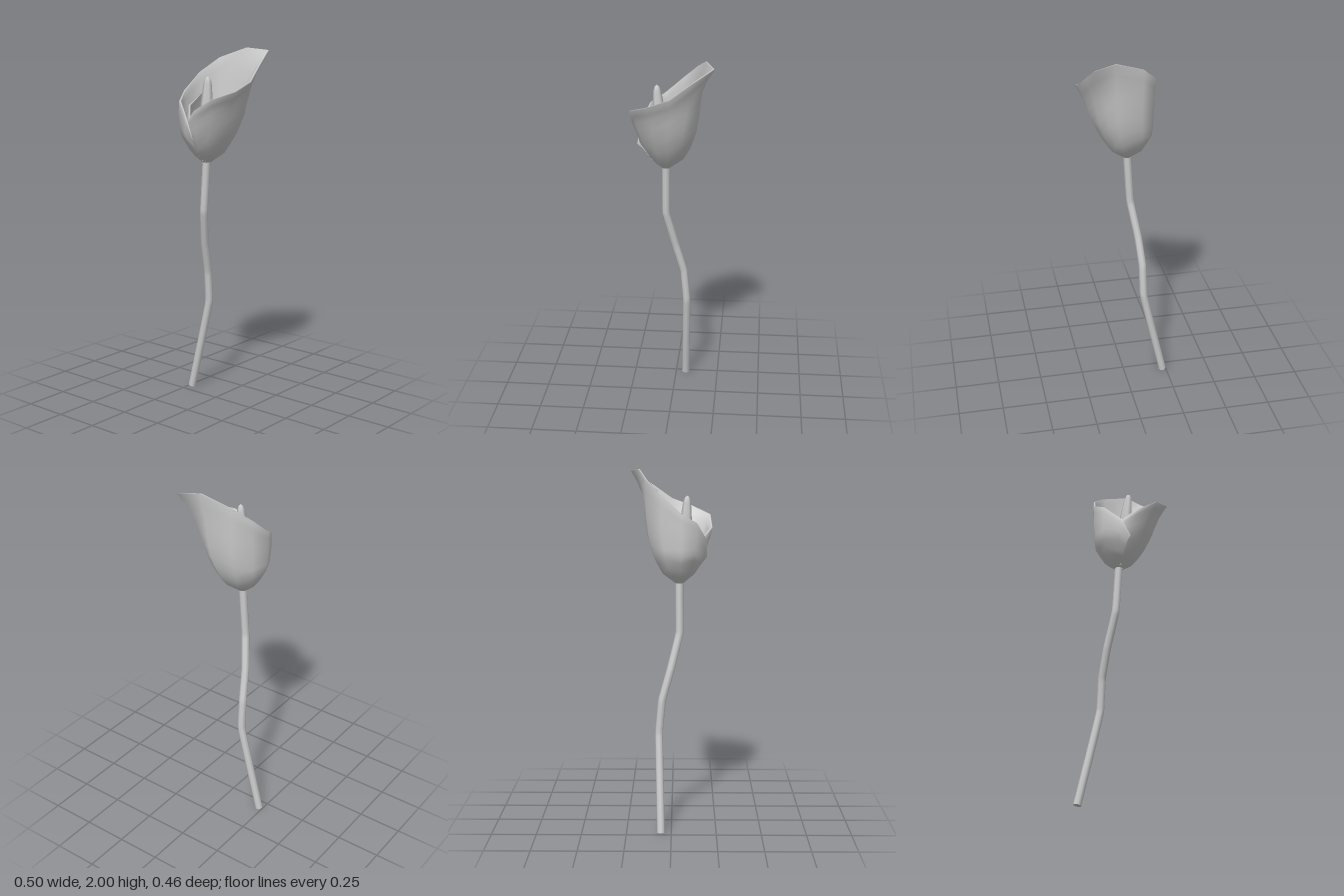
import * as THREE from 'three';

const grey = new THREE.MeshStandardMaterial({ color: 0xcccccc, side: THREE.DoubleSide });
grey.name = 'pale grey';

function part(name, geometry) {
  const mesh = new THREE.Mesh(geometry, grey);
  mesh.name = name;
  return mesh;
}

// Bent stalk, nearly straight between its joints
function makeStem() {
  const path = new THREE.CatmullRomCurve3([
    [-0.229, 0.006, -0.058], [-0.168, 0.27, -0.064], [-0.108, 0.54, -0.07], [-0.103, 0.73, -0.053],
    [-0.085, 0.9, -0.006], [-0.05, 1.1, 0.043], [-0.04, 1.25, 0.043], [-0.03, 1.41, 0.042],
  ].map(p => new THREE.Vector3(...p)), false, 'catmullrom', 0.12);
  const stem = new THREE.Group();
  stem.name = 'stem';
  stem.add(part('stalk', new THREE.TubeGeometry(path, 48, 0.022, 8)));
  const cap = part('stalkEnd', new THREE.CircleGeometry(0.022, 8));
  cap.position.copy(path.getPoint(0));
  cap.lookAt(path.getPoint(0).sub(path.getTangent(0)));
  stem.add(cap);
  return stem;
}

// Body of the cup: height, radius, centre x, centre z
const BODY = [
  [1.38, 0.022, -0.03, 0.042], [1.395, 0.04, -0.03, 0.04], [1.43, 0.088, -0.026, 0.034],
  [1.53, 0.148, -0.022, 0.033], [1.64, 0.174, -0.003, 0.03], [1.75, 0.178, 0.002, 0.022],
  [2.1, 0.185, 0.005, 0.01],
];
function bodyAt(y) {
  let i = 0;
  while (i < BODY.length - 2 && y > BODY[i + 1][0]) i++;
  const t = (y - BODY[i][0]) / (BODY[i + 1][0] - BODY[i][0]);
  return BODY[i].map((a, k) => THREE.MathUtils.lerp(a, BODY[i + 1][k], t));
}

// Rim of the wrapped petal, from the outer flap round to the hidden inner flap: x, y, z, body scale
const RIM = [
  [0.0, 1.52, 0.195, 1.05], [-0.05, 1.62, 0.192, 1.05], [-0.145, 1.715, 0.14, 1.04],
  [-0.185, 1.765, 0.055, 1.03], [-0.165, 1.86, -0.055, 1], [-0.085, 1.94, -0.14, 1],
  [0.075, 1.997, -0.187, 1], [0.19, 1.985, -0.23, 1], [0.217, 1.91, -0.115, 1],
  [0.245, 1.83, 0, 1], [0.238, 1.785, 0.125, 1], [0.15, 1.745, 0.22, 1],
  [0.035, 1.68, 0.228, 1], [-0.05, 1.625, 0.172, 0.94], [-0.125, 1.69, 0.085, 0.9],
  [-0.11, 1.765, -0.035, 0.86],
];

// Point on a petal column at v (0 base, 1 rim), pulled towards the axis by inset
function petalPoint([rx, ry, rz, s], v, inset) {
  const y = THREE.MathUtils.lerp(1.38, ry, v);
  const angle = Math.atan2(rz - 0.03, rx);
  const [, r, cx, cz] = bodyAt(y);
  const [, r1, cx1, cz1] = bodyAt(ry);
  const c = Math.cos(angle), n = Math.sin(angle);
  const flare = Math.pow(v, 4);
  return [
    cx + c * (r * s - inset) + (rx - cx1 - c * r1 * s) * flare,
    y,
    cz + n * (r * s - inset) + (rz - cz1 - n * r1 * s) * flare,
  ];
}

// Wrapped petal: each column runs up the outside, over the lip and down the inside
function makePetal() {
  const V = 10, pos = [], index = [];
  const rows = 2 * (V + 1) + 1;
  RIM.forEach((rim, i) => {
    const thick = i === 0 || i === RIM.length - 1 ? 0.002 : 0.015;
    for (let j = 0; j <= V; j++) pos.push(...petalPoint(rim, j / V, 0));
    const lip = petalPoint(rim, 1, thick / 2);
    pos.push(lip[0], lip[1] + thick * 0.2, lip[2]);
    for (let j = V; j >= 0; j--) pos.push(...petalPoint(rim, j / V, thick));
  });
  for (let i = 0; i < RIM.length - 1; i++) {
    for (let j = 0; j < rows - 1; j++) {
      const a = i * rows + j, b = a + rows;
      index.push(a, a + 1, b, b, a + 1, b + 1);
    }
  }
  const g = new THREE.BufferGeometry();
  g.setAttribute('position', new THREE.Float32BufferAttribute(pos, 3));
  g.setIndex(index);
  g.computeVertexNormals();
  return part('petal', g);
}

// Leaning spike inside the cup
function makeSpadix() {
  const profile = [[0.02, 1.39], [0.035, 1.48], [0.042, 1.6], [0.034, 1.71], [0.022, 1.82], [0.012, 1.848], [0, 1.856]];
  const g = new THREE.LatheGeometry(profile.map(p => new THREE.Vector2(...p)), 6);
  const p = g.attributes.position;
  for (let i = 0; i < p.count; i++) {
    const t = (p.getY(i) - 1.39) / 0.466;
    p.setX(i, p.getX(i) - 0.03 + 0.046 * t);
    p.setZ(i, p.getZ(i) + 0.06 + 0.026 * t);
  }
  return part('spadix', g);
}

export function createModel() {
  const flower = new THREE.Group();
  flower.name = 'flower';
  flower.add(makeStem(), makePetal(), makeSpadix());
  return flower;
}
